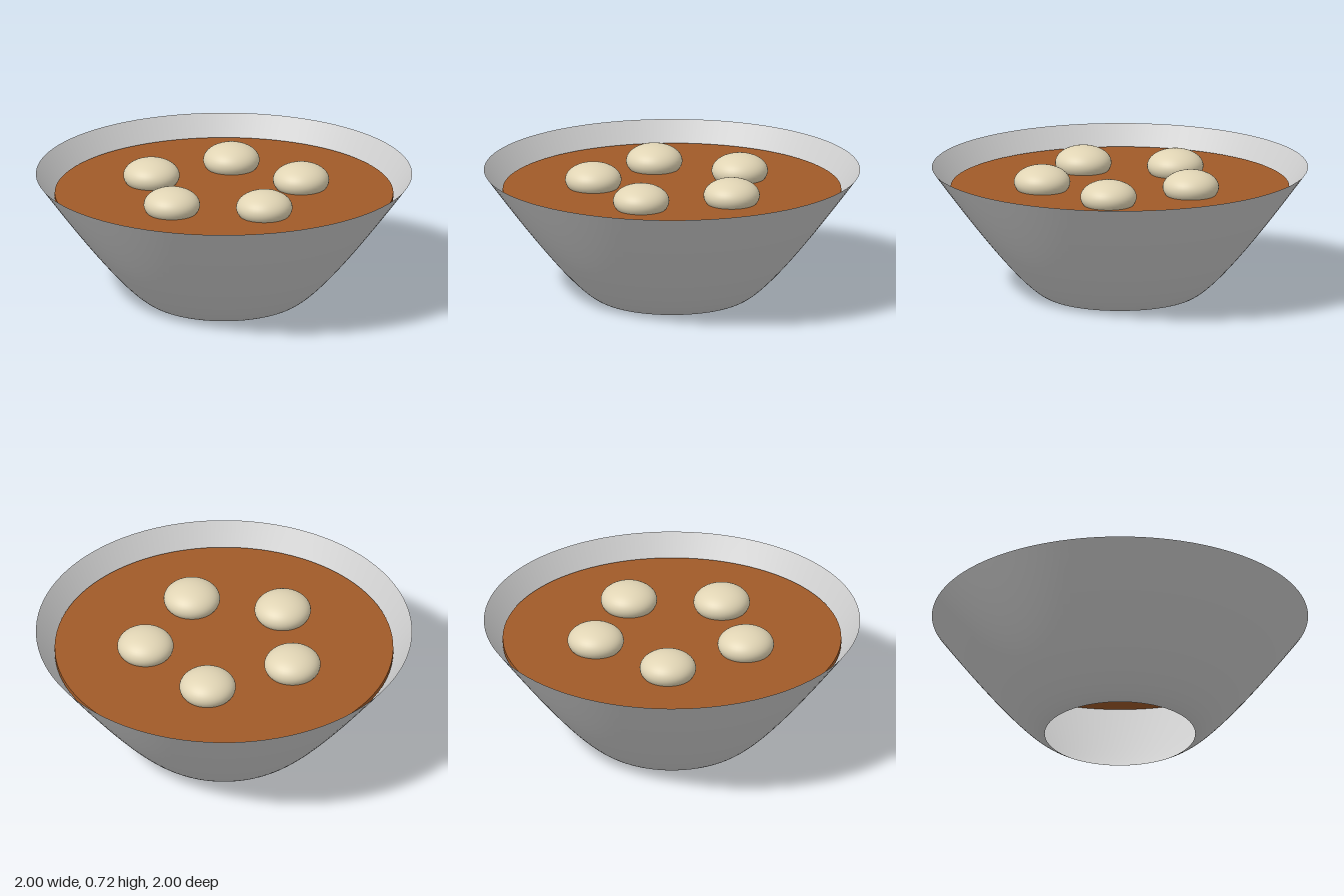
import * as THREE from 'three';

export function createModel() {
  const group = new THREE.Group();
  const add = (name, geometry, color, side = THREE.FrontSide) => {
    const mesh = new THREE.Mesh(geometry, new THREE.MeshStandardMaterial({ color, side }));
    mesh.name = name;
    group.add(mesh);
    return mesh;
  };

  // Thin flared bowl wall, open at the rim and at the base
  const profile = new THREE.QuadraticBezierCurve(
    new THREE.Vector2(0.4, 0),
    new THREE.Vector2(0.54, 0.05),
    new THREE.Vector2(1, 0.69)
  );
  add('bowl', new THREE.LatheGeometry(profile.getPoints(24), 96), 0xcccccc, THREE.DoubleSide);

  // Flat disc of soup just below the rim
  const soup = add('soup', new THREE.CylinderGeometry(0.9, 0.9, 0.025, 96), 0xa05a28);
  soup.position.y = 0.573;

  // Ring of five squashed dumplings floating in the soup
  const dumpling = new THREE.SphereGeometry(0.15, 40, 24);
  for (let i = 0; i < 5; i++) {
    const angle = (i / 5) * Math.PI * 2;
    const mesh = add('dumpling' + (i + 1), dumpling, 0xe0d4b4);
    mesh.scale.y = 0.6;
    mesh.position.set(0.42 * Math.cos(angle), 0.627, 0.42 * Math.sin(angle));
  }
  return group;
}
